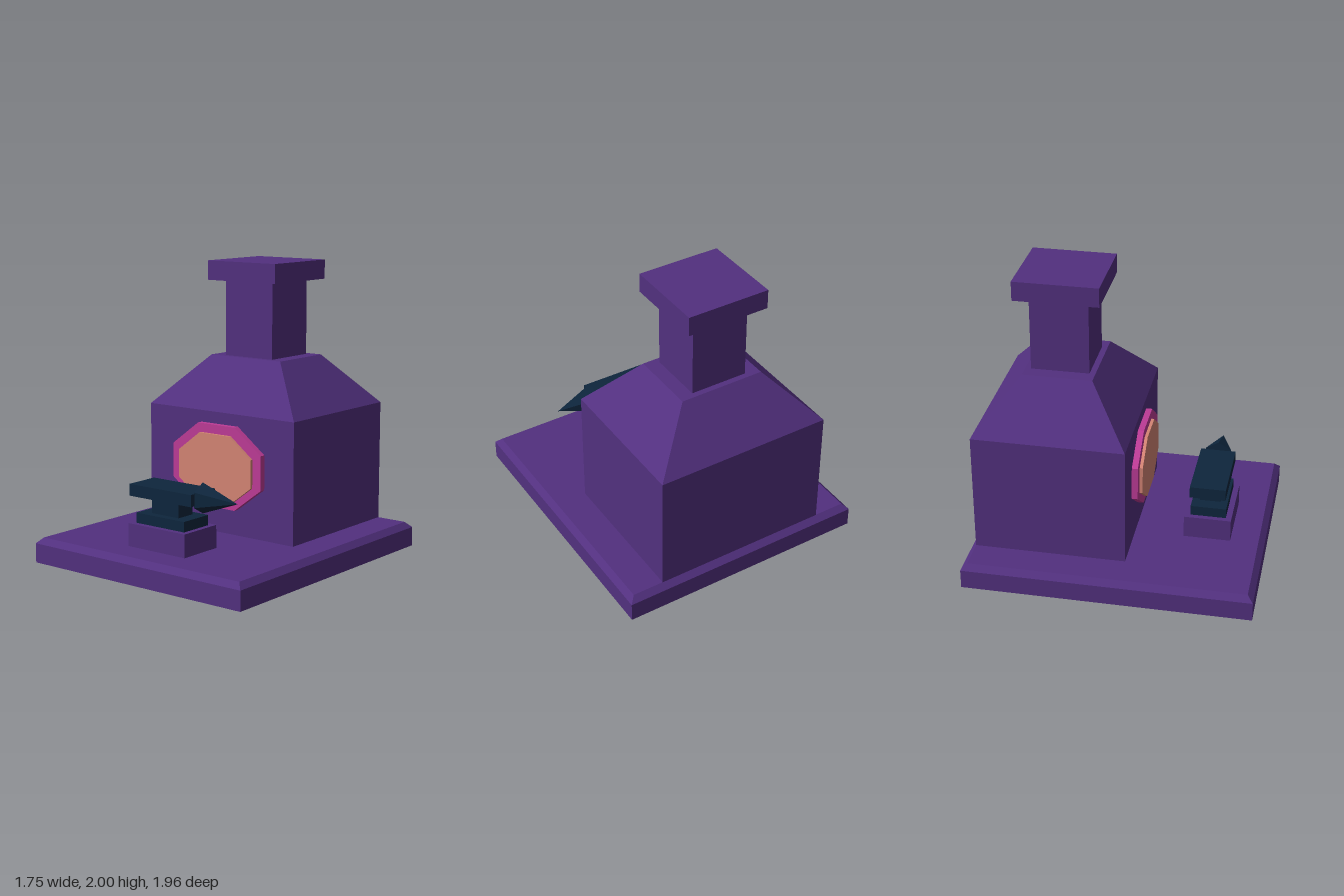
import * as THREE from 'three';

const mat = (name, color) => {
  const m = new THREE.MeshStandardMaterial({ color, flatShading: true });
  m.name = name;
  return m;
};

export function createModel() {
  const stone = mat('purple stone', 0x52307f);
  const rim = mat('pink rim', 0xbd3b96);
  const glow = mat('orange glow', 0xd48474);
  const iron = mat('dark iron', 0x0e263d);

  const add = (parent, name, geometry, material) => {
    const mesh = new THREE.Mesh(geometry, material);
    mesh.name = name;
    parent.add(mesh);
    return mesh;
  };

  // Block from y0 to y1 centred on (x, z); its top may have another width and depth
  const block = (y0, y1, w, d, x, z, topW = w, topD = d) => {
    const g = new THREE.BoxGeometry(w, y1 - y0, d);
    const p = g.attributes.position;
    for (let i = 0; i < p.count; i++) {
      if (p.getY(i) > 0) p.setXYZ(i, p.getX(i) * topW / w, p.getY(i), p.getZ(i) * topD / d);
    }
    g.translate(x, (y0 + y1) / 2, z);
    g.computeVertexNormals();
    return g;
  };

  // Flat-topped octagonal plate facing +z, given its half width and half height
  const octagon = (halfW, halfH, y, z0, z1) => {
    const k = 1 / Math.cos(Math.PI / 8);
    const g = new THREE.CylinderGeometry(1, 1, z1 - z0, 8, 1, false, Math.PI / 8);
    g.rotateX(Math.PI / 2);
    g.scale(halfW * k, halfH * k, 1);
    g.translate(0, y, (z0 + z1) / 2);
    return g;
  };

  const model = new THREE.Group();
  model.name = 'forge';

  // Floor slab with a bevelled top edge
  add(model, 'slab', block(0, 0.133, 1.752, 1.96, 0, 0), stone);
  add(model, 'slabBevel', block(0.133, 0.172, 1.752, 1.96, 0, 0, 1.674, 1.882), stone);

  // Furnace and chimney
  const furnace = new THREE.Group();
  furnace.name = 'furnace';
  model.add(furnace);
  const fz = -0.426;
  add(furnace, 'furnaceBody', block(0.172, 1.003, 1.236, 1.032, 0, fz), stone);
  add(furnace, 'hood', block(1.003, 1.343, 1.236, 1.032, 0, fz, 0.596, 0.476), stone);
  add(furnace, 'chimney', block(1.343, 1.867, 0.4, 0.396, 0, fz), stone);
  add(furnace, 'chimneyCap', block(1.867, 2, 0.576, 0.576, 0, fz), stone);

  // Fire opening
  add(furnace, 'openingRim', octagon(0.379, 0.285, 0.637, 0.08, 0.131), rim);
  add(furnace, 'fire', octagon(0.31, 0.235, 0.625, 0.12, 0.152), glow);

  // Anvil on its plinth
  const anvil = new THREE.Group();
  anvil.name = 'anvil';
  model.add(anvil);
  const az = 0.587;
  add(anvil, 'plinth', block(0.172, 0.328, 0.482, 0.322, 0, az), stone);
  add(anvil, 'anvilFoot', block(0.328, 0.397, 0.41, 0.244, 0, az), iron);
  add(anvil, 'anvilWaist', block(0.397, 0.502, 0.23, 0.138, 0, az), iron);
  add(anvil, 'anvilFace', block(0.502, 0.582, 0.526, 0.244, 0, az), iron);

  // Six-sided horn pointing to +x
  const horn = new THREE.ConeGeometry(0.102, 0.284, 6, 1, false, Math.PI / 6);
  horn.rotateZ(-Math.PI / 2);
  add(anvil, 'anvilHorn', horn, iron).position.set(0.403, 0.541, az);

  return model;
}
